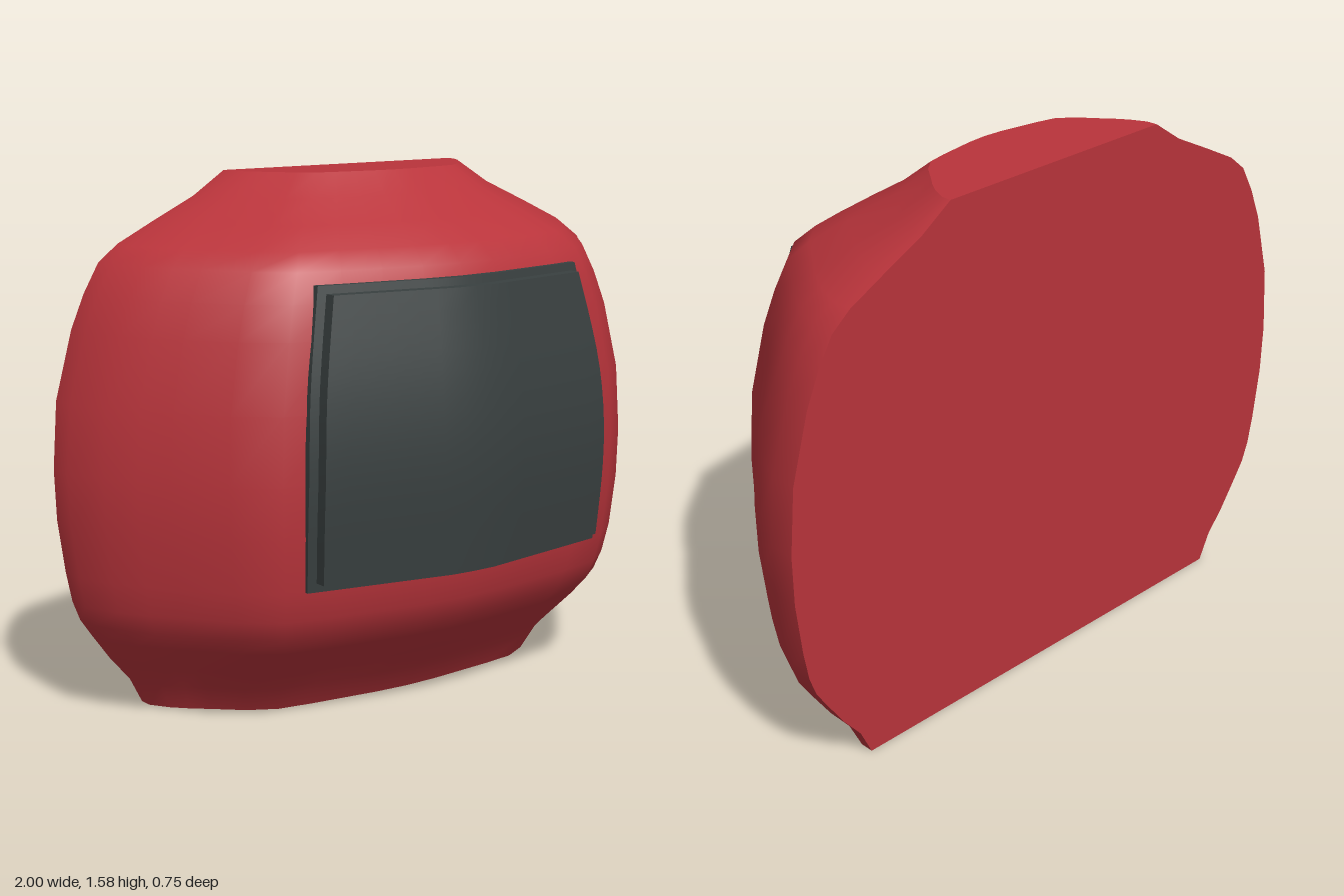
import * as THREE from 'three';

// Body rows from bottom to top: height, half width, front depth
const ROWS = [
  [0, 0.735, -0.025], [0.08, 0.775, 0.03], [0.15, 0.835, 0.1], [0.235, 0.895, 0.19],
  [0.29, 0.932, 0.24], [0.35, 0.955, 0.266], [0.44, 0.973, 0.29], [0.6, 0.995, 0.305],
  [0.75, 1, 0.31], [0.95, 0.985, 0.304], [1.15, 0.93, 0.28], [1.25, 0.887, 0.259],
  [1.335, 0.838, 0.234], [1.385, 0.775, 0.18], [1.445, 0.655, 0.09],
  [1.51, 0.52, -0.015], [1.58, 0.415, -0.096],
];
// Half of the normalised cross-section, from the back corner to the front centre
const HALF = [
  [1, 0], [0.998, 0.12], [0.945, 0.285], [0.885, 0.415], [0.82, 0.53], [0.715, 0.73],
  [0.6, 0.865], [0.45, 0.915], [0.3, 0.95], [0.15, 0.985], [0, 1],
];
const SECTION = [...HALF, ...HALF.slice(0, -1).reverse().map(([x, z]) => [-x, z])];
const BACK = -0.375;

const sectionAt = ([, w, f]) => SECTION.map(([x, z]) => [x * w, BACK + z * (f - BACK)]);

function bodyGeometry() {
  const pos = [], index = [], n = SECTION.length;
  for (const row of ROWS) for (const [x, z] of sectionAt(row)) pos.push(x, row[0], z);
  for (let i = 0; i < ROWS.length - 1; i++) {
    for (let j = 0; j < n - 1; j++) {
      const a = i * n + j, b = a + n;
      index.push(a, b, a + 1, b, b + 1, a + 1);
    }
  }
  const g = new THREE.BufferGeometry();
  g.setAttribute('position', new THREE.Float32BufferAttribute(pos, 3));
  g.setIndex(index);
  g.computeVertexNormals();
  return g;
}

const flat = (points) =>
  new THREE.ShapeGeometry(new THREE.Shape(points.map(([x, y]) => new THREE.Vector2(x, y))));

// Smooth curve through three or more [height, value] samples
function curve(samples) {
  const s = new THREE.SplineCurve(samples.map(([y, v]) => new THREE.Vector2(y, v)));
  const pts = s.getPoints(60);
  return (y) => {
    let k = 0;
    while (k < pts.length - 2 && pts[k + 1].x < y) k++;
    const t = (y - pts[k].x) / (pts[k + 1].x - pts[k].x);
    return pts[k].y + t * (pts[k + 1].y - pts[k].y);
  };
}

// Slab bent around the body: width and front depth vary with height
function plateGeometry(y0, y1, width, front, depth) {
  const g = new THREE.BoxGeometry(2, 1, 1, 14, 14, 1);
  const p = g.attributes.position;
  for (let i = 0; i < p.count; i++) {
    const y = y0 + (p.getY(i) + 0.5) * (y1 - y0);
    const x = p.getX(i) * width(y);
    const drop = 0.183 * Math.max(0, Math.abs(x) - 0.06);
    p.setXYZ(i, x, y, front(y) - drop - (p.getZ(i) < 0 ? depth : 0));
  }
  g.computeVertexNormals();
  return g;
}

export function createModel() {
  const red = new THREE.MeshStandardMaterial({ color: 0xb9343b });
  red.name = 'red';
  const charcoal = new THREE.MeshStandardMaterial({ color: 0x394040 });
  charcoal.name = 'charcoal';

  const model = new THREE.Group();
  model.name = 'shell';
  const add = (name, geometry, material) => {
    const mesh = new THREE.Mesh(geometry, material);
    mesh.name = name;
    model.add(mesh);
    return mesh;
  };

  // Rounded shell with flat top, bottom and back
  add('body', bodyGeometry(), red);
  const top = ROWS[ROWS.length - 1];
  add('topFace', flat(sectionAt(top).map(([x, z]) => [x, -z])).rotateX(-Math.PI / 2), red)
    .position.y = top[0];
  add('bottomFace', flat(sectionAt(ROWS[0])).rotateX(Math.PI / 2), red);
  const outline = [
    ...ROWS.map(([y, w]) => [w, y]),
    ...[...ROWS].reverse().map(([y, w]) => [-w, y]),
  ];
  add('backFace', flat(outline).rotateY(Math.PI), red).position.z = BACK;

  // Two stacked plates on the front
  const width = curve([[0.44, 0.527], [0.72, 0.535], [1.0, 0.52], [1.3, 0.463]]);
  const front = curve([[0.44, 0.31], [0.75, 0.337], [1.0, 0.323], [1.3, 0.268]]);
  add('panelFrame', plateGeometry(0.44, 1.3, width, front, 0.06), charcoal);
  add('panelPlate', plateGeometry(0.467, 1.277, (y) => width(y) - 0.027,
    (y) => front(y) + 0.037, 0.06), charcoal);

  return model;
}
